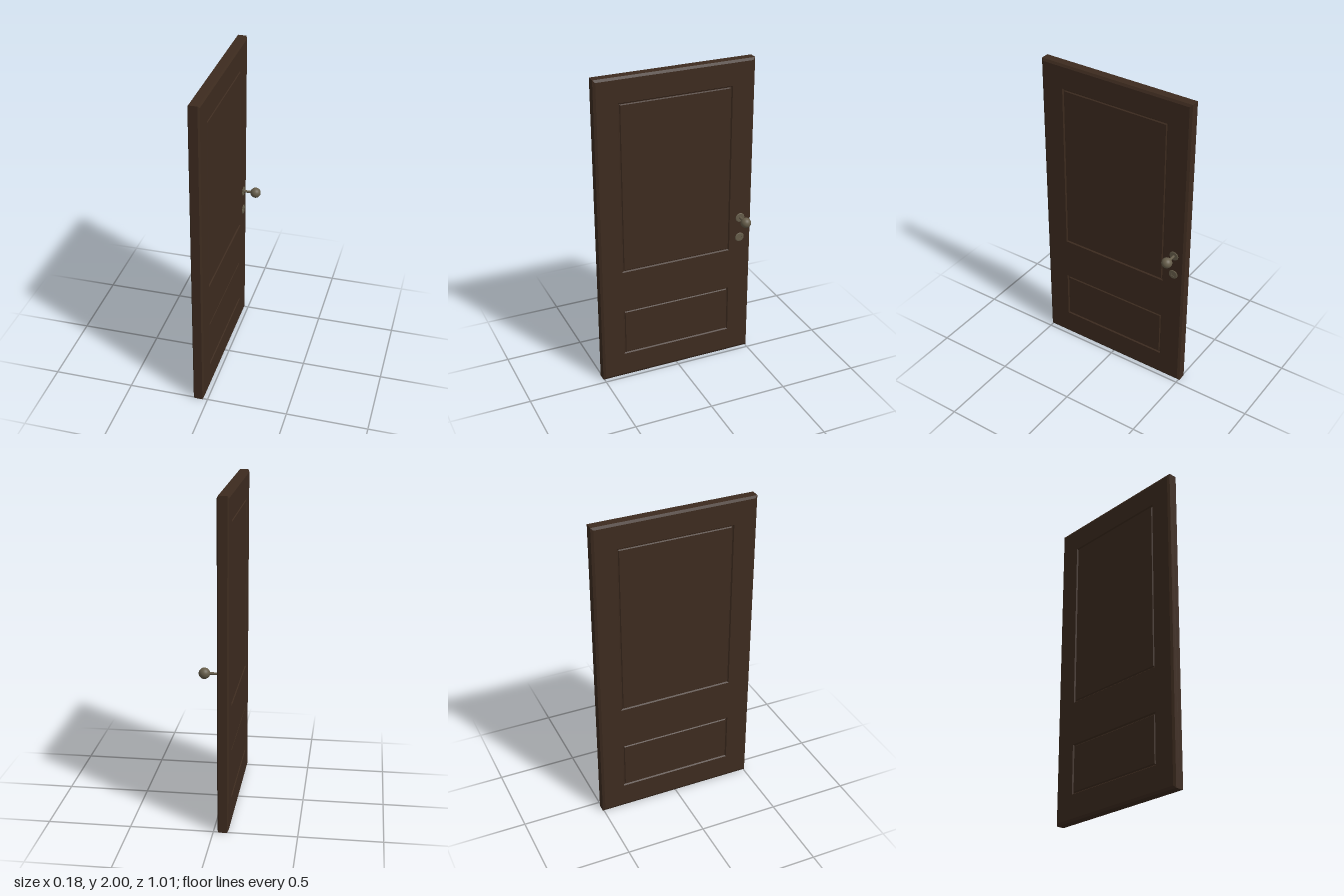
import * as THREE from 'three';

const WIDTH = 1.014, HEIGHT = 2, HALF_THICK = 0.034, SLAB_X = -0.057;
const BEVEL = 0.015, BEVEL_DEPTH = 0.008;
const PANELS = [
  { w: 0.724, y0: 0.75, y1: 1.845 },
  { w: 0.724, y0: 0.162, y1: 0.477 },
];

const wood = new THREE.MeshStandardMaterial({ color: 0x3d2b1f });
const brass = new THREE.MeshStandardMaterial({ color: 0x665d4a });

// Corners of a rectangle, inset by d, at depth z (counter-clockwise from the front)
function rect({ w, y0, y1 }, d, z) {
  const x = w / 2 - d;
  return [[-x, y0 + d, z], [x, y0 + d, z], [x, y1 - d, z], [-x, y1 - d, z]];
}

// Joins successive rectangles with flat faces, optionally closing the last one
function loftRects(rings, cap) {
  const pos = [];
  const quad = (a, b, c, d) => [a, b, c, a, c, d].forEach((p) => pos.push(...p));
  for (let r = 0; r + 1 < rings.length; r++) {
    const a = rings[r], b = rings[r + 1];
    for (let i = 0; i < 4; i++) {
      const j = (i + 1) % 4;
      quad(a[i], a[j], b[j], b[i]);
    }
  }
  if (cap) quad(...rings[rings.length - 1]);
  const g = new THREE.BufferGeometry();
  g.setAttribute('position', new THREE.Float32BufferAttribute(pos, 3));
  g.computeVertexNormals();
  return g;
}

function add(parent, name, geometry, material) {
  const mesh = new THREE.Mesh(geometry, material);
  mesh.name = name;
  parent.add(mesh);
  return mesh;
}

// One half of the door leaf: bevelled rim, face and two moulded panels
function createDoorSide(name) {
  const side = new THREE.Group();
  side.name = name;
  const door = { w: WIDTH, y0: 0, y1: HEIGHT };
  const z = HALF_THICK;

  add(side, 'bevelledRim', loftRects([
    rect(door, 0, 0), rect(door, 0, z - BEVEL_DEPTH), rect(door, BEVEL, z),
  ], false), wood);

  const toPoints = (r) => r.map(([x, y]) => new THREE.Vector2(x, y));
  const face = new THREE.Shape(toPoints(rect(door, BEVEL, z)));
  PANELS.forEach((p) => face.holes.push(new THREE.Path(toPoints(rect(p, 0, z)))));
  add(side, 'doorFace', new THREE.ShapeGeometry(face).translate(0, 0, z), wood);

  // Groove slopes in, runs flat, then rises to the panel field
  for (const p of PANELS) {
    add(side, 'panel', loftRects([
      rect(p, 0, z), rect(p, 0.006, z - 0.008), rect(p, 0.01, z - 0.008),
      rect(p, 0.015, z - 0.002),
    ], true), wood);
  }
  return side;
}

// Thin round plate with a hole, lying on the door face
function ringPlate(outer, inner) {
  const profile = [[inner, 0], [outer, 0], [outer, 0.002], [outer - 0.004, 0.004],
    [inner, 0.004], [inner, 0]].map(([r, h]) => new THREE.Vector2(r, h));
  const g = new THREE.LatheGeometry(profile, 24).toNonIndexed();
  g.computeVertexNormals();
  return g.rotateZ(-Math.PI / 2);
}

export function createModel() {
  const model = new THREE.Group();
  model.name = 'door';

  const leaf = new THREE.Group();
  leaf.name = 'doorLeaf';
  leaf.position.x = SLAB_X;
  [['frontSide', 1], ['backSide', -1]].forEach(([name, s]) => {
    const side = createDoorSide(name);
    side.rotation.y = s * Math.PI / 2;
    leaf.add(side);
  });
  model.add(leaf);

  // Knob, stem and round plates on one side of the leaf
  const hardware = new THREE.Group();
  hardware.name = 'doorHardware';
  hardware.position.set(SLAB_X + HALF_THICK, 0.967, -0.433);
  add(hardware, 'knobPlate', ringPlate(0.03, 0.007), brass);
  add(hardware, 'knobStem', new THREE.CylinderGeometry(0.008, 0.008, 0.07, 16)
    .rotateZ(-Math.PI / 2), brass).position.x = 0.03;
  add(hardware, 'knob', new THREE.SphereGeometry(0.033, 32, 20), brass).position.x = 0.081;

  // Lock plate with its recessed cylinder
  add(hardware, 'lockPlate', ringPlate(0.03, 0.012), brass).position.y = -0.137;
  add(hardware, 'lockCylinder', new THREE.CylinderGeometry(0.012, 0.012, 0.002, 20)
    .rotateZ(-Math.PI / 2), brass).position.set(0.001, -0.137, 0);
  model.add(hardware);

  return model;
}
